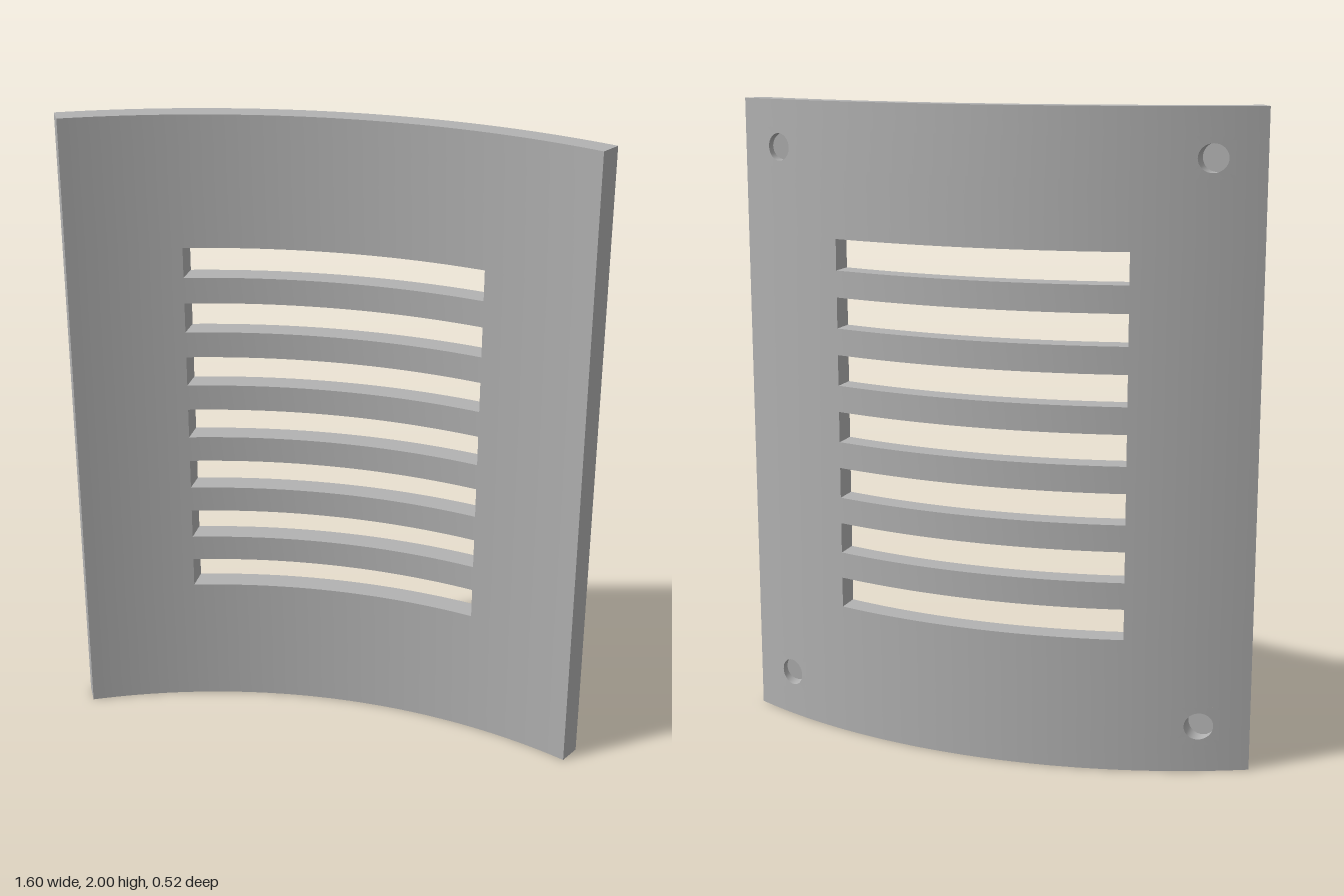
import * as THREE from 'three';
import { mergeGeometries, mergeVertices } from 'three/addons/utils/BufferGeometryUtils.js';

const R_IN = 1.79, R_OUT = 1.865, HALF = THREE.MathUtils.degToRad(26.35);
const TILT = THREE.MathUtils.degToRad(14.9);
const HEIGHT = 2, SLOT_U = 0.463, SLOT_H = 0.096, SLOT_STEP = 0.179, SLOT_MID = 1.003;
const HOLE_U = 0.683, HOLE_Y = 0.145, HOLE_R = 0.042, HOLE_CELL = 0.06, HOLE_DEPTH = 0.045;
const SEGMENTS = [3, 4, 5, 32, 5, 4, 3];

const lerp = THREE.MathUtils.lerp;
const bend = (u, r) => -Math.sqrt(r * r - u * u);

// Grid surface of f(a, b), facing df/da x df/db
function patch(f, na = 1, nb = 1) {
  const pos = [], index = [];
  for (let j = 0; j <= nb; j++)
    for (let i = 0; i <= na; i++) pos.push(...f(i / na, j / nb));
  for (let j = 0; j < nb; j++)
    for (let i = 0; i < na; i++) {
      const p = j * (na + 1) + i, q = p + na + 1;
      index.push(p, p + 1, q, p + 1, q + 1, q);
    }
  const g = new THREE.BufferGeometry();
  g.setAttribute('position', new THREE.Float32BufferAttribute(pos, 3));
  g.setIndex(index);
  return g;
}

// Column edges across the plate; the outer ends are cut radially
function columns(r) {
  const half = [SLOT_U, HOLE_U - HOLE_CELL, HOLE_U + HOLE_CELL, r * Math.sin(HALF)];
  return [...half.map(u => -u).reverse(), ...half];
}

// Row edges up the plate, including the slot rows
function rows() {
  const low = [0, HOLE_Y - HOLE_CELL, HOLE_Y + HOLE_CELL];
  const slots = [];
  for (let i = -3; i <= 3; i++) {
    const c = SLOT_MID + i * SLOT_STEP;
    slots.push(c - SLOT_H / 2, c + SLOT_H / 2);
  }
  return [...low, ...slots, ...low.map(y => HEIGHT - y).reverse()];
}

export function createModel() {
  const model = new THREE.Group();
  model.name = 'curvedVentPanel';
  const panel = new THREE.Group();
  panel.name = 'panel';
  panel.rotation.y = TILT;
  panel.position.set(0.43, 0, 1.605);
  model.add(panel);

  const grey = new THREE.MeshStandardMaterial({ color: 0xb2b2b2 });
  grey.name = 'plain grey';
  const add = (name, patches) => {
    const g = mergeVertices(mergeGeometries(patches), 1e-5);
    g.computeVertexNormals();
    const mesh = new THREE.Mesh(g, grey);
    mesh.name = name;
    panel.add(mesh);
  };

  const ys = rows(), uIn = columns(R_IN), uOut = columns(R_OUT);
  const lastRow = ys.length - 2;
  const isSlot = (c, r) => c === 3 && r >= 3 && r <= lastRow - 3 && r % 2 === 1;
  const isHole = (c, r) => (c === 1 || c === 5) && (r === 1 || r === lastRow - 1);

  // Horizontal face between the two skins across one column
  const ledge = (c, y, up) => patch((a, b) => {
    const s = up ? a : 1 - a;
    const ui = lerp(uIn[c], uIn[c + 1], s), uo = lerp(uOut[c], uOut[c + 1], s);
    return [lerp(ui, uo, b), y, lerp(bend(ui, R_IN), bend(uo, R_OUT), b)];
  }, SEGMENTS[c]);

  // Upright face between the two skins at one column edge
  const jamb = (c, y0, y1, facesLeft) => patch((a, b) => {
    const s = facesLeft ? a : 1 - a;
    return [lerp(uIn[c], uOut[c], s), lerp(y0, y1, b),
      lerp(bend(uIn[c], R_IN), bend(uOut[c], R_OUT), s)];
  });

  // Front and back skins, with openings left out
  const front = [], back = [];
  for (let c = 0; c < SEGMENTS.length; c++)
    for (let r = 0; r <= lastRow; r++) {
      if (isSlot(c, r)) continue;
      const cell = (us, radius, flip) => patch((a, b) => {
        const u = lerp(us[c], us[c + 1], flip ? 1 - a : a);
        return [u, lerp(ys[r], ys[r + 1], b), bend(u, radius)];
      }, SEGMENTS[c]);
      front.push(cell(uIn, R_IN, false));
      if (!isHole(c, r)) back.push(cell(uOut, R_OUT, true));
    }

  // Blind mounting holes in the back
  for (const su of [-1, 1])
    for (const hy of [HOLE_Y, HEIGHT - HOLE_Y]) {
      const hu = su * HOLE_U, floor = bend(hu, R_OUT) + HOLE_DEPTH;
      const at = (t, radius) => {
        const p = t * Math.PI * 2;
        return [hu + radius * Math.cos(p), hy + radius * Math.sin(p)];
      };
      back.push(patch((a, b) => {
        const p = a * Math.PI * 2;
        const edge = HOLE_CELL / Math.max(Math.abs(Math.cos(p)), Math.abs(Math.sin(p)));
        const [u, y] = at(a, lerp(HOLE_R, edge, b));
        return [u, y, bend(u, R_OUT)];
      }, 32));
      add('mountingHoleWall', [patch((a, b) => {
        const [u, y] = at(a, HOLE_R);
        return [u, y, lerp(floor, bend(u, R_OUT), b)];
      }, 32)]);
      add('mountingHoleFloor', [patch((a, b) => [...at(a, HOLE_R * b), floor], 32)]);
    }
  add('frontSkin', front);
  add('backSkin', back);

  // Outer rim
  add('topEdge', SEGMENTS.map((_, c) => ledge(c, HEIGHT, true)));
  add('bottomEdge', SEGMENTS.map((_, c) => ledge(c, 0, false)));
  add('leftEdge', [jamb(7, 0, HEIGHT, true)]);
  add('rightEdge', [jamb(0, 0, HEIGHT, false)]);

  // Slot linings, cut straight through
  for (let r = 3; r <= lastRow - 3; r += 2) {
    add('slotSill', [ledge(3, ys[r], true)]);
    add('slotHead', [ledge(3, ys[r + 1], false)]);
    add('slotRightJamb', [jamb(3, ys[r], ys[r + 1], true)]);
    add('slotLeftJamb', [jamb(4, ys[r], ys[r + 1], false)]);
  }
  return model;
}
